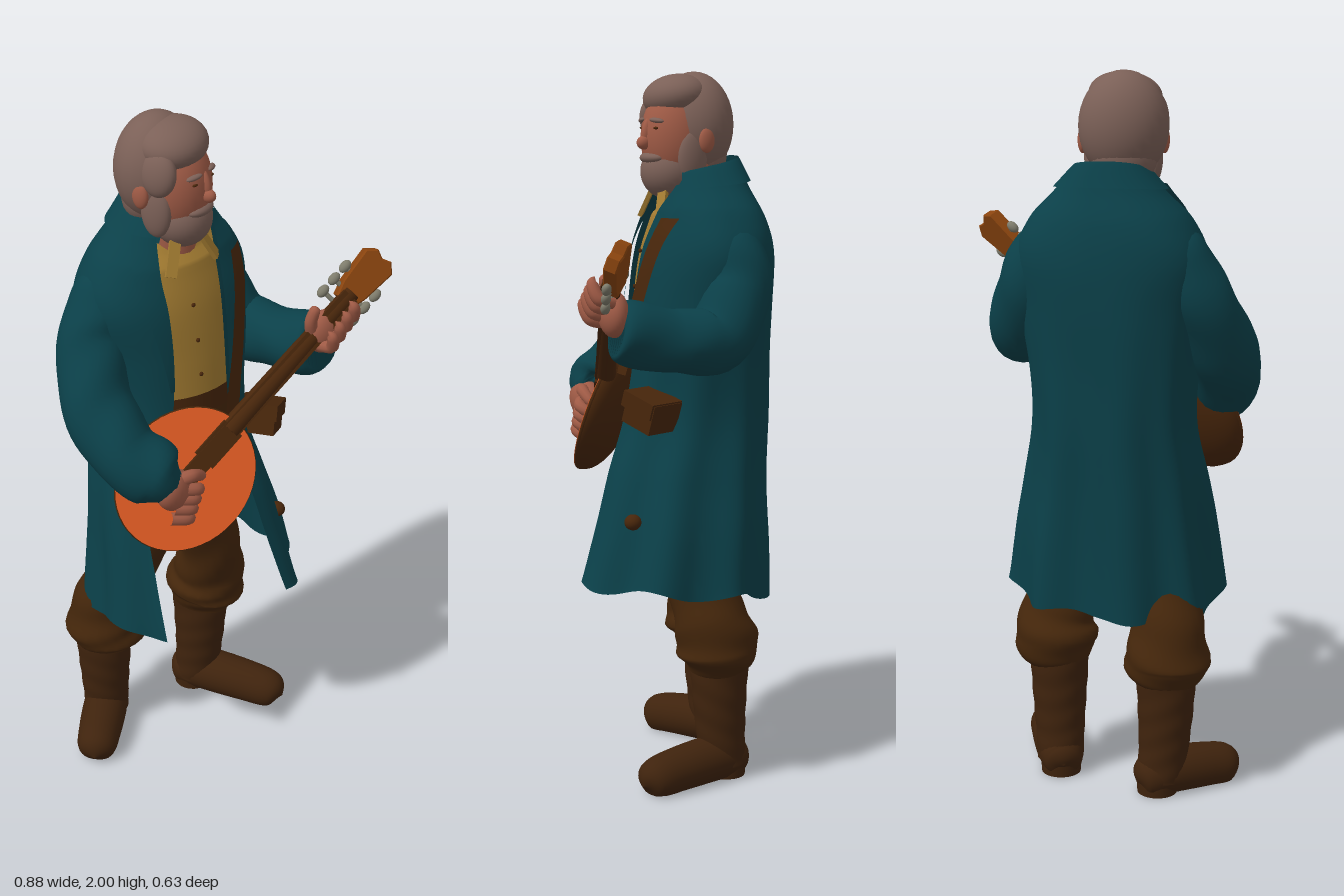
import * as THREE from 'three';
import { ParametricGeometry } from 'three/addons/geometries/ParametricGeometry.js';

const paint = (name, color, side = THREE.FrontSide) => {
  const m = new THREE.MeshStandardMaterial({ color, side });
  m.name = name;
  return m;
};

// Smooth interpolation through rows of numbers
const sample = (rows, t) => {
  const n = rows.length - 1, i = Math.max(0, Math.min(Math.floor(t * n), n - 1)), f = t * n - i;
  const [p, a, b, q] = [rows[Math.max(i - 1, 0)], rows[i], rows[i + 1], rows[Math.min(i + 2, n)]];
  return a.map((v, k) => v + 0.5 * f * (b[k] - p[k] + f * (2 * p[k] - 5 * v + 4 * b[k] - q[k]
    + f * (3 * (v - b[k]) + q[k] - p[k]))));
};

export function createModel() {
  const root = new THREE.Group();
  const TWO = Math.PI * 2;
  const coatM = paint('coat teal', 0x0b4049, THREE.DoubleSide);
  const trouserM = paint('trouser brown', 0x44260b);
  const bootM = paint('boot brown', 0x3f230d);
  const leatherM = paint('leather brown', 0x48260b, THREE.DoubleSide);
  const skinM = paint('skin', 0xa05b46);
  const hairM = paint('hair grey brown', 0x7b6057);
  const shirtM = paint('shirt ochre', 0xa27b31, THREE.DoubleSide);
  const faceM = paint('soundboard orange', 0xe25c24);
  const headstockM = paint('headstock wood', 0x8a440e);
  const metalM = paint('peg grey', 0x7e7c6c);

  const add = (name, geo, mat, pos = [0, 0, 0], scale = [1, 1, 1], rot = [0, 0, 0], parent = root) => {
    const m = new THREE.Mesh(geo, mat);
    m.name = name;
    m.position.set(...pos);
    m.scale.set(...scale);
    m.rotation.set(...rot);
    parent.add(m);
    return m;
  };
  const ball = (name, mat, pos, radii, parent = root, rot) =>
    add(name, new THREE.SphereGeometry(1, 28, 20), mat, pos, radii, rot, parent);
  const box = (name, mat, size, pos, parent = root, rot) =>
    add(name, new THREE.BoxGeometry(...size), mat, pos, undefined, rot, parent);

  // Round limb through [x, y, z, radius] stations, with optional cloth folds
  const limb = (name, mat, rows, { fold = 0, ref = [1, 0, 0], floor = false, parent = root, seg = 24 } = {}) => {
    const R = new THREE.Vector3(...ref), at = t => new THREE.Vector3(...sample(rows, t));
    const geo = new ParametricGeometry((u, v, out) => {
      const T = at(Math.min(1, v + 0.01)).sub(at(Math.max(0, v - 0.01))).normalize();
      const N = R.clone().addScaledVector(T, -R.dot(T)).normalize();
      const B = T.clone().cross(N), a = u * TWO;
      const r = Math.max(0.0005, sample(rows, v)[3]) * (1 + fold * Math.sin(v * 30 + 3 * Math.sin(a + 0.7)));
      out.copy(at(v)).addScaledVector(N, r * Math.cos(a)).addScaledVector(B, r * Math.sin(a));
      if (floor) out.y = Math.max(0, out.y);
    }, seg, seg * 2);
    return add(name, geo, mat, undefined, undefined, undefined, parent);
  };

  // Coat rows: y, centre x, centre z, half width, half depth, left edge x, right edge x
  const coatRows = [
    [0.55, -0.035, 0.0, 0.30, 0.285, 0.065, -0.295],
    [0.72, -0.035, -0.025, 0.277, 0.262, 0.045, -0.285],
    [0.88, -0.04, -0.05, 0.25, 0.24, 0.025, -0.27],
    [1.04, -0.04, -0.085, 0.225, 0.212, 0.0, -0.22],
    [1.20, -0.04, -0.10, 0.23, 0.2, 0.0, -0.18],
    [1.36, -0.035, -0.11, 0.248, 0.193, 0.0, -0.17],
    [1.50, -0.035, -0.12, 0.265, 0.18, 0.005, -0.17],
    [1.60, -0.035, -0.125, 0.225, 0.155, 0.02, -0.165],
    [1.69, -0.035, -0.12, 0.15, 0.12, 0.04, -0.14],
    [1.765, -0.035, -0.115, 0.098, 0.10, 0.045, -0.12],
  ];
  const edge = (x, cx, rx) => Math.asin(Math.max(-0.98, Math.min(0.98, (x - cx) / rx)));
  const coatPoint = (t, a, off, out) => {
    const [y, cx, cz, rx, rz] = sample(coatRows, t), low = Math.max(0, 1 - t * 1.6);
    const f = 1 + low * 0.045 * Math.sin(9 * a + 3) + 0.008 * Math.sin(5 * a + t * 20);
    const hem = low ** 4 * (0.02 * Math.sin(a) + 0.03 * Math.cos(a) + 0.012 * Math.sin(7 * a));
    const neckDip = Math.max(0, t - 0.8) * 0.12 * (1 + Math.cos(a));
    // the back is broader and flatter than the front
    const flat = w => (Math.cos(a) < 0 ? Math.sign(w) * Math.abs(w) ** 0.82 : w);
    return out.set(cx + (rx * f + off) * flat(Math.sin(a)), y + hem - neckDip, cz + (rz * f + off) * flat(Math.cos(a)));
  };
  const edges = t => {
    const r = sample(coatRows, t);
    return [edge(r[5], r[1], r[3]), edge(r[6], r[1], r[3])];
  };
  add('coat', new ParametricGeometry((u, v, out) => {
    const [l, r] = edges(v);
    coatPoint(v, l + u * (TWO + r - l), 0, out);
  }, 110, 60), coatM);

  // Lapels and turned collar lying on the coat
  for (const s of [0, 1]) {
    add('lapel', new ParametricGeometry((u, v, out) => {
      const t = 0.5 + v * 0.42, e = edges(t)[s], w = 0.05 + 0.45 * v;
      coatPoint(t, e + (s ? -1 : 1) * u * w, 0.012 + 0.006 * u, out);
    }, 6, 20), coatM);
  }
  add('collar', new ParametricGeometry((u, v, out) => {
    const a = 0.75 + u * (TWO - 1.5);
    coatPoint(0.9 + 0.1 * v, a, 0.012 - 0.008 * v, out);
  }, 40, 6), coatM);

  // Shirt inside the coat, with collar points and buttons
  const shirtRows = coatRows.slice(4).map(r => [r[0] - 0.02, r[1], r[2], r[3] * 0.93, r[4] * 0.93]);
  add('shirt', new ParametricGeometry((u, v, out) => {
    const [y, cx, cz, rx, rz] = sample(shirtRows, v), a = u * TWO;
    out.set(cx + rx * Math.sin(a), y - Math.max(0, v - 0.65) * 0.15 * (1 + Math.cos(a)), cz + rz * Math.cos(a));
  }, 40, 30), shirtM);
  for (const s of [-1, 1]) {
    box('shirt collar', shirtM, [0.03, 0.10, 0.012], [-0.06 + s * 0.065, 1.64, 0.01], root, [-0.5, s * 0.4, s * 0.5]);
  }
  const frontZ = (x, y) => {
    let lo = 0, hi = 1;
    for (let i = 0; i < 24; i++) {
      const m = (lo + hi) / 2;
      if (sample(coatRows, m)[0] < y) lo = m; else hi = m;
    }
    const [, cx, cz, rx, rz] = sample(coatRows, lo);
    return cz + rz * Math.sqrt(Math.max(0, 1 - ((x - cx) / rx) ** 2));
  };
  for (const y of [1.3, 1.4, 1.5]) ball('shirt button', leatherM, [-0.085, y, frontZ(-0.085, y) - 0.012], [0.006, 0.006, 0.005]);
  ball('coat button', leatherM, coatPoint(0.14, 0.8, 0.002, new THREE.Vector3()).toArray(), [0.024, 0.022, 0.024]);

  // Shoulder strap, belt and pouch
  add('shoulder strap', new ParametricGeometry((u, v, out) => {
    const y = 1.16 + 0.44 * v, x = -0.015 + 0.115 * v + (u - 0.5) * 0.06;
    out.set(x, y, frontZ(x, y) + 0.022);
  }, 4, 24), leatherM);
  add('belt', new ParametricGeometry((u, v, out) => {
    const a = u * TWO;
    out.set(-0.04 + 0.218 * Math.sin(a), 1.18 + 0.065 * v, -0.10 + 0.19 * Math.cos(a));
  }, 40, 2), leatherM);
  box('pouch', leatherM, [0.105, 0.085, 0.11], [0.14, 1.075, 0.085], root, [0, 0.5, -0.3]);
  box('pouch flap', leatherM, [0.112, 0.045, 0.118], [0.143, 1.1, 0.087], root, [0, 0.5, -0.3]);

  // Sleeves
  limb('right sleeve', coatM, [[-0.16, 1.575, -0.14, 0.06], [-0.22, 1.505, -0.15, 0.088], [-0.275, 1.4, -0.145, 0.094],
    [-0.33, 1.26, -0.08, 0.098], [-0.335, 1.15, 0.025, 0.095], [-0.295, 1.09, 0.115, 0.089], [-0.285, 1.08, 0.125, 0.04]], { fold: 0.03 });
  limb('left sleeve', coatM, [[0.09, 1.575, -0.14, 0.06], [0.145, 1.505, -0.15, 0.088], [0.188, 1.4, -0.145, 0.092],
    [0.225, 1.285, -0.075, 0.093], [0.235, 1.28, 0.05, 0.087], [0.235, 1.31, 0.20, 0.085], [0.235, 1.312, 0.21, 0.04]], { fold: 0.03 });

  // Trousers: pelvis and two baggy legs gathered over the boots
  ball('trouser seat', trouserM, [-0.05, 1.05, -0.09], [0.195, 0.26, 0.16]);
  limb('right trouser leg', trouserM, [[-0.13, 0.98, -0.09, 0.10], [-0.165, 0.78, -0.09, 0.105], [-0.195, 0.60, -0.14, 0.09],
    [-0.21, 0.46, -0.19, 0.105], [-0.21, 0.37, -0.20, 0.12], [-0.21, 0.32, -0.20, 0.085]], { fold: 0.03 });
  limb('left trouser leg', trouserM, [[0.01, 0.98, -0.09, 0.10], [0.04, 0.78, -0.06, 0.098], [0.09, 0.60, -0.06, 0.088],
    [0.125, 0.47, -0.095, 0.105], [0.125, 0.39, -0.115, 0.118], [0.115, 0.33, -0.12, 0.085]], { fold: 0.03 });

  // Boots
  const boot = (name, x, z, yaw, len) => {
    const g = new THREE.Group();
    g.name = name;
    g.position.set(x, 0, z);
    g.rotation.y = yaw;
    root.add(g);
    limb('boot shaft', bootM, [[0, 0.04, -0.015, 0.066], [0, 0.14, -0.005, 0.071], [0, 0.26, 0, 0.079], [0, 0.38, 0, 0.086]],
      { fold: 0.012, parent: g });
    limb('boot foot', bootM, [[0, 0.04, -0.088, 0.001], [0, 0.045, -0.07, 0.05], [0, 0.055, 0.0, 0.066], [0, 0.05, len * 0.55, 0.064],
      [0, 0.04, len - 0.03, 0.052], [0, 0.03, len, 0.001]], { floor: true, parent: g });
    add('boot heel', new THREE.CylinderGeometry(0.06, 0.056, 0.05, 24), bootM, [0, 0.025, -0.025], undefined, undefined, g);
  };
  boot('right boot', -0.21, -0.215, -0.92, 0.232);
  boot('left boot', 0.115, -0.125, 0.36, 0.28);

  // Head
  add('neck', new THREE.CylinderGeometry(0.068, 0.08, 0.2, 24), skinM, [-0.045, 1.69, -0.085]);
  const head = new THREE.Group();
  head.name = 'head';
  head.position.set(-0.06, 1.82, -0.08);
  head.rotation.y = 0.2;
  root.add(head);
  ball('face', skinM, [0, -0.005, 0.03], [0.094, 0.145, 0.1], head);
  ball('hair', hairM, [0, 0.03, -0.028], [0.122, 0.147, 0.108], head);
  ball('nape hair', hairM, [0, -0.05, -0.045], [0.09, 0.09, 0.075], head);
  ball('swept fringe', hairM, [-0.005, 0.108, 0.028], [0.1, 0.062, 0.09], head, [0.1, 0, 0.1]);
  ball('side lock', hairM, [-0.092, 0.055, 0.04], [0.03, 0.062, 0.052], head, [0, 0, -0.15]);
  ball('beard', hairM, [0, -0.098, 0.052], [0.082, 0.078, 0.08], head);
  ball('moustache', hairM, [0, -0.06, 0.105], [0.05, 0.018, 0.03], head);
  ball('nose', skinM, [0, -0.018, 0.132], [0.016, 0.019, 0.022], head);
  ball('nose bridge', skinM, [0, 0.015, 0.12], [0.013, 0.04, 0.018], head, [-0.25, 0, 0]);
  for (const s of [-1, 1]) {
    ball('sideburn', hairM, [s * 0.083, -0.055, 0.025], [0.024, 0.075, 0.045], head);
    ball('ear', skinM, [s * 0.11, -0.01, -0.005], [0.014, 0.036, 0.024], head);
    ball('eyebrow', hairM, [s * 0.04, 0.043, 0.115], [0.025, 0.007, 0.01], head, [0, s * 0.35, -s * 0.1]);
    ball('eye', leatherM, [s * 0.038, 0.022, 0.116], [0.01, 0.004, 0.006], head);
  }

  // Round-bodied lute: local x runs up the neck, local z faces out
  const lute = new THREE.Group();
  lute.name = 'lute';
  const u = new THREE.Vector3(0.755, 0.615, 0.19).normalize();
  const n = new THREE.Vector3(-0.57, 0.46, 1);
  n.addScaledVector(u, -n.dot(u)).normalize();
  lute.quaternion.setFromRotationMatrix(new THREE.Matrix4().makeBasis(u, n.clone().cross(u), n));
  lute.position.set(-0.2, 1.038, 0.124);
  root.add(lute);
  add('lute bowl', new THREE.SphereGeometry(1, 36, 18, 0, TWO, Math.PI / 2, Math.PI / 2), leatherM, [0, 0, 0], [0.21, 0.085, 0.184], [Math.PI / 2, 0, 0], lute);
  add('soundboard', new THREE.CylinderGeometry(1, 1, 0.006, 48), faceM, [0, 0, 0.003], [0.209, 1, 0.183], [Math.PI / 2, 0, 0], lute);
  add('soundboard rim', new THREE.TorusGeometry(1, 0.02, 8, 48), leatherM, [0, 0, 0], [0.208, 0.182, 0.25], [0, 0, 0], lute);
  box('fretboard', leatherM, [0.68, 0.05, 0.014], [0.33, 0, 0.012], lute);
  box('fretboard end', leatherM, [0.12, 0.066, 0.012], [0.13, 0, 0.011], lute);
  add('lute neck', new THREE.CylinderGeometry(0.024, 0.03, 0.5, 16), leatherM, [0.43, 0, -0.002], [1, 1, 1], [0, 0, -Math.PI / 2], lute);
  const hs = new THREE.Shape([[0.65, -0.025], [0.69, -0.038], [0.79, -0.048], [0.81, -0.025], [0.80, 0], [0.81, 0.025],
    [0.79, 0.048], [0.69, 0.038], [0.65, 0.025]].map(p => new THREE.Vector2(...p)));
  add('headstock', new THREE.ExtrudeGeometry(hs, { depth: 0.03, bevelSize: 0.004, bevelThickness: 0.004, bevelSegments: 1 }), headstockM,
    [0, 0, -0.028], [1, 1, 1], [0, 0, 0], lute);
  for (const s of [-1, 1]) for (let i = 0; i < 3; i++) {
    const x = 0.63 + i * 0.045;
    add('peg shaft', new THREE.CylinderGeometry(0.007, 0.007, 0.04, 8), metalM, [x, s * 0.042, -0.012], [1, 1, 1], [0, 0, 0], lute);
    ball('peg', metalM, [x, s * 0.06, -0.012], [0.02, 0.014, 0.013], lute);
  }

  // Strumming hand
  ball('right palm', skinM, [-0.27, 1.05, 0.15], [0.07, 0.058, 0.042], root, [0, 0.3, -0.5]);
  for (let i = 0; i < 4; i++) {
    const y = 1.055 - i * 0.026, x = -0.235 - i * 0.012;
    limb('right finger', skinM, [[x - 0.03, y, 0.165, 0.018], [x + 0.015, y - 0.012, 0.185, 0.018], [x + 0.045, y - 0.03, 0.165, 0.014],
      [x + 0.052, y - 0.038, 0.152, 0.001]], { ref: [0, 1, 0.3], seg: 10 });
  }
  limb('right thumb', skinM, [[-0.27, 1.08, 0.16, 0.02], [-0.225, 1.085, 0.175, 0.018], [-0.18, 1.06, 0.165, 0.014], [-0.172, 1.055, 0.16, 0.001]],
    { ref: [0, 1, 0], seg: 10 });

  // Fretting hand wrapped around the neck
  ball('left palm', skinM, [0.24, 1.36, 0.225], [0.06, 0.065, 0.04], root, [0, 0, 0.5]);
  for (let i = 0; i < 4; i++) {
    const x = 0.205 + i * 0.028, y = 1.335 + i * 0.02;
    limb('left finger', skinM, [[x, y, 0.24, 0.017], [x + 0.005, y + 0.01, 0.28, 0.018], [x - 0.01, y + 0.05, 0.295, 0.015],
      [x - 0.018, y + 0.068, 0.285, 0.001]], { seg: 10 });
  }
  limb('left thumb', skinM, [[0.20, 1.37, 0.22, 0.02], [0.185, 1.41, 0.225, 0.018], [0.19, 1.45, 0.235, 0.014], [0.193, 1.458, 0.237, 0.001]], { seg: 10 });

  return root;
}
